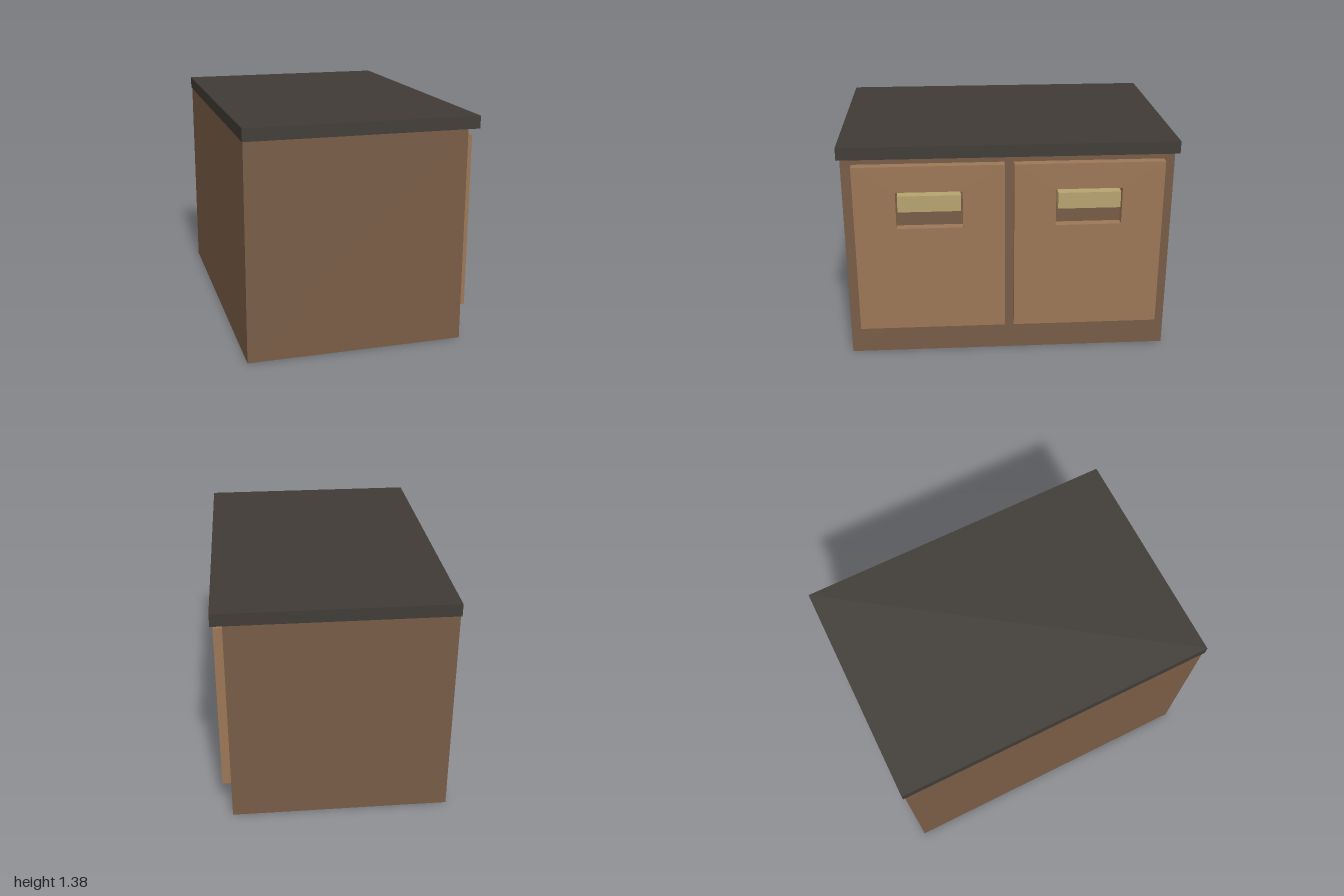
import * as THREE from 'three';

const material = (name, color) => {
  const m = new THREE.MeshStandardMaterial({ color });
  m.name = name;
  return m;
};

// Box given by its lower and upper corners
function box(name, mat, [x0, y0, z0], [x1, y1, z1]) {
  const mesh = new THREE.Mesh(new THREE.BoxGeometry(x1 - x0, y1 - y0, z1 - z0), mat);
  mesh.position.set((x0 + x1) / 2, (y0 + y1) / 2, (z0 + z1) / 2);
  mesh.name = name;
  return mesh;
}

// Closed rectangular outline centred on x = 0
function rect(path, halfWidth, y0, y1) {
  path.moveTo(-halfWidth, y0);
  path.lineTo(halfWidth, y0);
  path.lineTo(halfWidth, y1);
  path.lineTo(-halfWidth, y1);
  path.closePath();
  return path;
}

export function createModel() {
  const wood = material('dark wood', 0x785c46);
  const doorWood = material('light wood', 0x9c7756);
  const stone = material('dark worktop', 0x403b35);
  const brass = material('brass', 0xb6a36e);

  const model = new THREE.Group();
  model.name = 'cabinet';
  model.add(
    box('cabinetBody', wood, [-0.69, 0, -0.987], [0.625, 1.3, 0.987]),
    box('worktop', stone, [-0.695, 1.3, -1], [0.692, 1.375, 1])
  );

  // Door panel with a rectangular cut-out for the handle, facing +x
  const panel = rect(new THREE.Shape(), 0.447, 0.19, 1.25);
  panel.holes.push(rect(new THREE.Path(), 0.198, 0.86, 1.09));
  const panelGeometry = new THREE.ExtrudeGeometry(panel, { depth: 0.055, bevelEnabled: false });
  panelGeometry.rotateY(Math.PI / 2);

  for (const side of [1, -1]) {
    const door = new THREE.Group();
    door.name = side > 0 ? 'leftDoor' : 'rightDoor';
    const panelMesh = new THREE.Mesh(panelGeometry, doorWood);
    panelMesh.name = 'doorPanel';
    panelMesh.position.x = 0.625;
    door.add(panelMesh, box('handle', brass, [0.625, 0.97, -0.187], [0.69, 1.07, 0.187]));
    door.position.z = side * 0.475;
    model.add(door);
  }
  return model;
}
